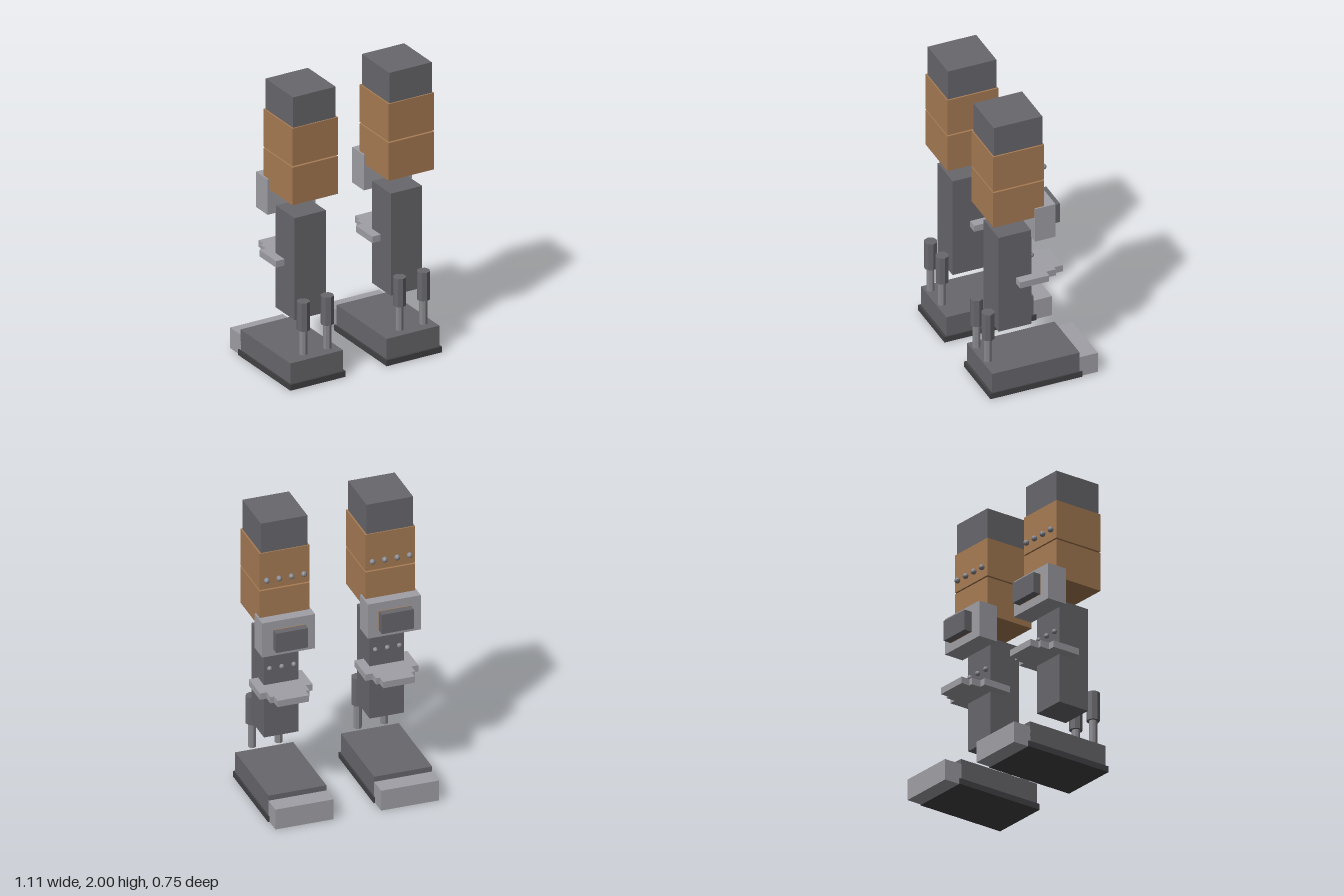
import * as THREE from 'three';

const mat = (color) => new THREE.MeshStandardMaterial({ color, flatShading: true });
const dark = mat(0x68686d), light = mat(0xa0a0a6), sole = mat(0x434346), bronze = mat(0xa87c54), steel = mat(0x88888e);

// Box from half width, y range and z range, centred on the leg
function block(name, hw, y0, y1, z0, z1, material) {
  const m = new THREE.Mesh(new THREE.BoxGeometry(hw * 2, y1 - y0, z1 - z0), material);
  m.position.set(0, (y0 + y1) / 2, (z0 + z1) / 2);
  m.name = name;
  return m;
}

// Upright eight-sided rod
function rod(name, r, y0, y1, x, z, material) {
  const m = new THREE.Mesh(new THREE.CylinderGeometry(r, r, y1 - y0, 8), material);
  m.position.set(x, (y0 + y1) / 2, z);
  m.name = name;
  return m;
}

// Evenly spaced row of round rivets
function rivets(name, count, spacing, y, z, r) {
  const g = new THREE.Group();
  g.name = name;
  const geo = new THREE.SphereGeometry(r, 10, 8);
  for (let i = 0; i < count; i++) {
    const m = new THREE.Mesh(geo, steel);
    m.name = 'rivet';
    m.position.set((i - (count - 1) / 2) * spacing, y, z);
    g.add(m);
  }
  return g;
}

// Flat calf plate whose rear corners step inwards
function calfPlate() {
  const side = [[0.177, -0.15], [0.177, 0.05], [0.131, 0.05], [0.131, 0.117], [0.106, 0.117], [0.106, 0.178]];
  const outline = [...side, ...side.map(([x, z]) => [-x, z]).reverse()];
  const shape = new THREE.Shape(outline.map(([x, z]) => new THREE.Vector2(x, z)));
  const geo = new THREE.ExtrudeGeometry(shape, { depth: 0.045, bevelEnabled: false });
  geo.rotateX(-Math.PI / 2);
  const m = new THREE.Mesh(geo, light);
  m.position.y = 0.76;
  m.name = 'calfPlate';
  return m;
}

function createLeg(name, x) {
  const leg = new THREE.Group();
  leg.name = name;
  leg.position.x = x;

  // Thigh with two bronze bands
  leg.add(
    block('upperThigh', 0.156, 1.785, 2, -0.012, 0.322, dark),
    block('upperBand', 0.167, 1.53, 1.79, -0.02, 0.331, bronze),
    block('lowerBand', 0.167, 1.26, 1.52, -0.02, 0.331, bronze),
    rivets('thighRivets', 4, 0.083, 1.597, -0.034, 0.019)
  );

  // Rear knee guard and its pad
  leg.add(
    block('kneeGuard', 0.177, 1.085, 1.33, -0.093, 0.047, light),
    block('padBacking', 0.107, 1.137, 1.275, -0.106, -0.099, bronze),
    block('kneePad', 0.107, 1.137, 1.275, -0.156, -0.106, dark)
  );

  // Shin
  leg.add(
    block('shin', 0.115, 0.43, 1.135, 0.043, 0.271, dark),
    rivets('shinRivets', 3, 0.081, 0.924, 0.031, 0.017),
    calfPlate()
  );

  // Front ankle pistons
  for (const s of [-1, 1]) {
    leg.add(
      rod('pistonSleeve', 0.043, 0.385, 0.58, s * 0.088, 0.332, dark),
      rod('pistonRod', 0.027, 0.215, 0.39, s * 0.088, 0.332, steel)
    );
  }

  // Foot
  leg.add(
    block('sole', 0.203, 0, 0.04, -0.268, 0.366, sole),
    block('footUpper', 0.194, 0.038, 0.18, -0.252, 0.35, dark),
    block('heel', 0.194, 0.002, 0.144, -0.377, -0.247, light)
  );
  return leg;
}

export function createModel() {
  const model = new THREE.Group();
  model.name = 'mechanicalLegs';
  model.add(createLeg('leftLeg', 0.354), createLeg('rightLeg', -0.354));
  return model;
}
